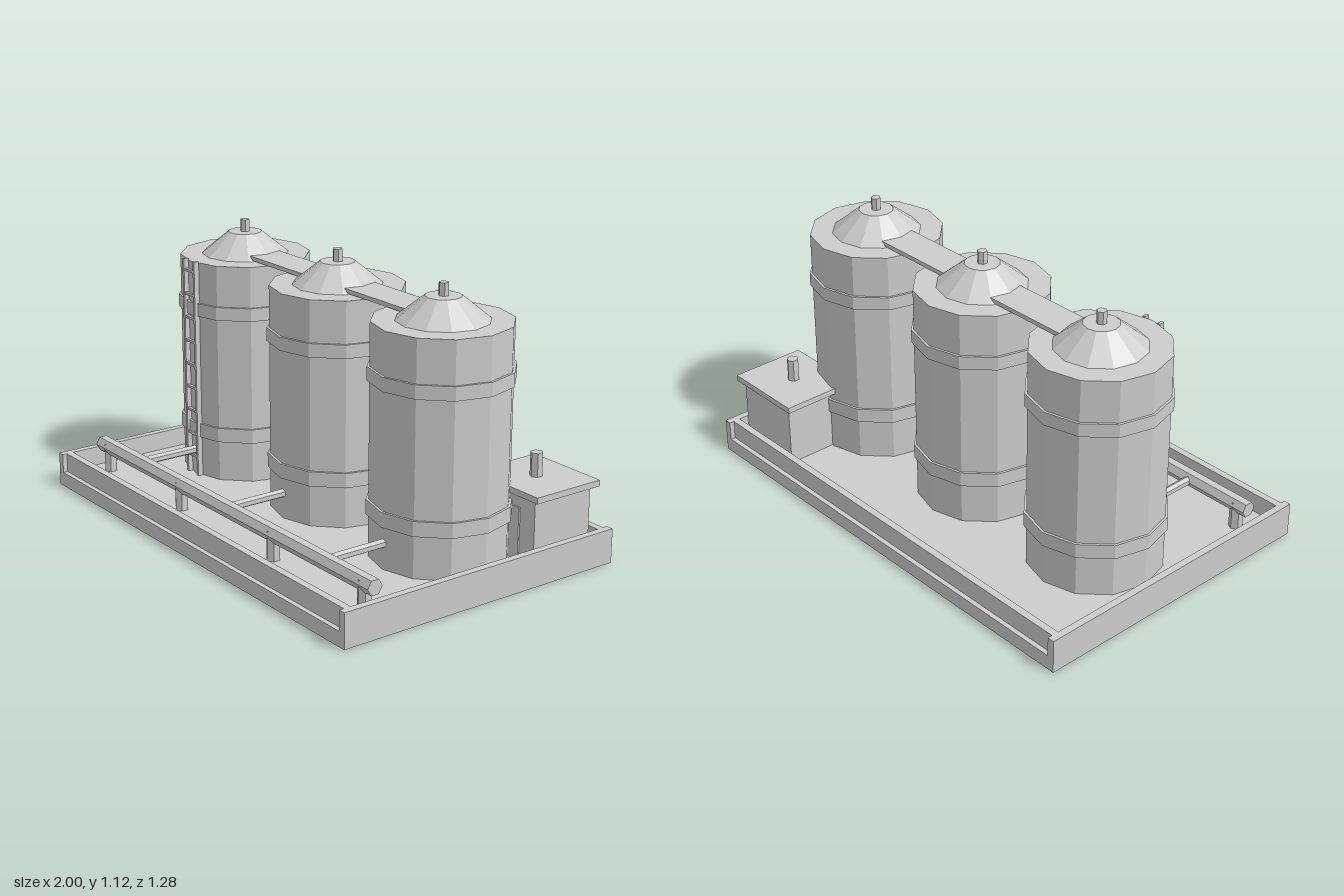
import * as THREE from 'three';

export function createModel() {
  const root = new THREE.Group();
  root.name = 'storageTanks';
  const grey = new THREE.MeshStandardMaterial({ color: 0xcccccc, flatShading: true, side: THREE.DoubleSide });
  grey.name = 'lightGrey';

  const add = (name, geometry, parent = root) => {
    const mesh = new THREE.Mesh(geometry, grey);
    mesh.name = name;
    parent.add(mesh);
    return mesh;
  };
  // Box given by its minimum and maximum on each axis
  const box = (name, x0, x1, y0, y1, z0, z1, parent) =>
    add(name, new THREE.BoxGeometry(x1 - x0, y1 - y0, z1 - z0), parent)
      .position.set((x0 + x1) / 2, (y0 + y1) / 2, (z0 + z1) / 2);
  // Upright cylinder or cone between two heights
  const column = (name, x, z, y0, y1, r0, r1, sides, parent, open = false) =>
    add(name, new THREE.CylinderGeometry(r1, r0, y1 - y0, sides, 1, open), parent)
      .position.set(x, (y0 + y1) / 2, z);

  // Base: floor with a skirt, open underneath
  const floorY = 0.06, halfX = 1, halfZ = 0.64;
  const base = new THREE.Group();
  base.name = 'base';
  root.add(base);
  add('floor', new THREE.PlaneGeometry(2 * halfX, 2 * halfZ).rotateX(-Math.PI / 2), base).position.y = floorY;
  for (let i = 0; i < 4; i++) {
    const alongX = i % 2 === 0;
    const skirt = new THREE.PlaneGeometry(alongX ? 2 * halfX : 2 * halfZ, floorY);
    skirt.translate(0, floorY / 2, alongX ? halfZ : halfX).rotateY(i * Math.PI / 2);
    add('skirt', skirt, base);
  }
  // Low containment walls
  for (const s of [-1, 1]) {
    box('sideWall', s * 0.985 - 0.015, s * 0.985 + 0.015, floorY, 0.14, -halfZ, halfZ, base);
    box('longWall', -0.97, 0.97, floorY, 0.14, s * 0.605 - 0.015, s * 0.605 + 0.015, base);
  }

  // Three twelve-sided tanks
  const tankZ = -0.08;
  for (const x of [-0.64, 0, 0.64]) {
    const tank = new THREE.Group();
    tank.name = 'tank';
    root.add(tank);
    column('tankBody', x, tankZ, floorY, 0.98, 0.27, 0.27, 12, tank);
    column('lowerBand', x, tankZ, 0.23, 0.29, 0.28, 0.28, 12, tank);
    column('upperBand', x, tankZ, 0.755, 0.81, 0.28, 0.28, 12, tank);
    column('coneRoof', x, tankZ, 0.98, 1.07, 0.18, 0.07, 12, tank);
    column('vent', x, tankZ, 1.07, 1.12, 0.02, 0.02, 6, tank);
    // Feed pipe to the manifold
    add('feedPipe', new THREE.CylinderGeometry(0.018, 0.018, 0.27, 6).rotateX(Math.PI / 2), tank)
      .position.set(x, 0.165, 0.305);
  }

  // Walkway across the roofs
  box('walkway', -0.56, 0.56, 0.983, 1.0, -0.16, -0.01);

  // Ladder on the tank at -x
  const ladder = new THREE.Group();
  ladder.name = 'ladder';
  root.add(ladder);
  for (const s of [-1, 1]) {
    const x = -0.64 + s * 0.038;
    box('ladderRail', x - 0.006, x + 0.006, floorY, 0.985, 0.18, 0.202, ladder);
  }
  for (let i = 0; i < 9; i++) {
    const y = 0.14 + i * 0.1;
    box('ladderRung', -0.678, -0.602, y - 0.005, y + 0.005, 0.186, 0.199, ladder);
  }

  // Manifold pipe on four posts
  add('manifoldPipe', new THREE.CylinderGeometry(0.033, 0.033, 1.88, 6).rotateZ(Math.PI / 2))
    .position.set(0, 0.165, 0.46);
  for (const x of [-0.88, -0.32, 0.32, 0.88])
    column('pipePost', x, 0.46, 0.002, 0.18, 0.028, 0.028, 6, root, true);

  // Pump house
  const house = new THREE.Group();
  house.name = 'pumpHouse';
  root.add(house);
  box('houseWalls', 0.65, 0.95, floorY, 0.32, -0.56, -0.28, house);
  box('houseRoof', 0.62, 0.98, 0.32, 0.345, -0.58, -0.262, house);
  box('houseDoor', 0.73, 0.87, 0.057, 0.27, -0.281, -0.273, house);
  column('houseVent', 0.8, -0.42, 0.345, 0.44, 0.025, 0.025, 6, house);

  return root;
}
